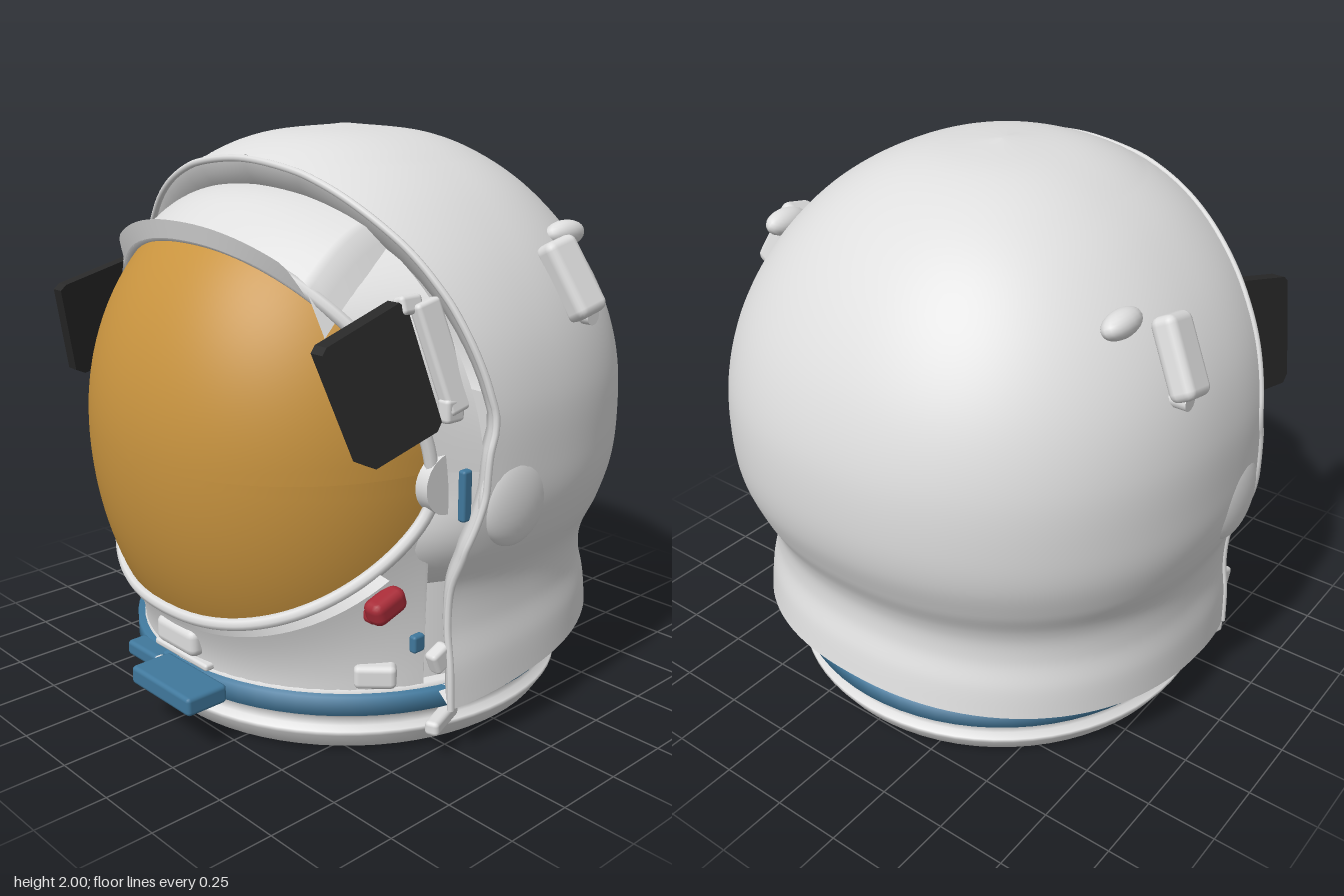
import * as THREE from 'three';
import { RoundedBoxGeometry } from 'three/addons/geometries/RoundedBoxGeometry.js';

const paint = (name, color) => {
  const m = new THREE.MeshStandardMaterial({ color, side: THREE.DoubleSide });
  m.name = name;
  return m;
};

// Linear lookup in a short list of [key, value] pairs
function lookup(list, k) {
  if (k <= list[0][0]) return list[0][1];
  for (let i = 1; i < list.length; i++) {
    const [a, va] = list[i - 1], [b, vb] = list[i];
    if (k <= b) return va + (vb - va) * (k - a) / (b - a);
  }
  return list[list.length - 1][1];
}

// Smooth sheet from a function of (u, v), both 0..1
function sheet(nu, nv, f) {
  const pos = [], idx = [];
  for (let j = 0; j <= nv; j++)
    for (let i = 0; i <= nu; i++) pos.push(...f(i / nu, j / nv));
  for (let j = 0; j < nv; j++)
    for (let i = 0; i < nu; i++) {
      const a = j * (nu + 1) + i, b = a + 1, c = a + nu + 1, d = c + 1;
      idx.push(a, b, d, a, d, c);
    }
  const g = new THREE.BufferGeometry();
  g.setAttribute('position', new THREE.Float32BufferAttribute(pos, 3));
  g.setIndex(idx);
  g.computeVertexNormals();
  return g;
}

const spow = (v, p) => Math.sign(v) * Math.abs(v) ** p;

// Shell profile: half width, height, depth to the back
const profile = new THREE.CatmullRomCurve3([
  [.865, .18, .87], [.86, .32, .85], [.845, .46, .82], [.855, .6, .825], [.905, .73, .885], [.935, .86, .935],
  [.94, 1, .955], [.93, 1.2, .945], [.88, 1.4, .885], [.775, 1.6, .77], [.615, 1.78, .61],
  [.44, 1.9, .44], [.27, 1.967, .27], [0, 2, 0],
].map(p => new THREE.Vector3(...p)));
// Front edge of the shell: height -> z
const shellEdge = [[.18, .31], [.75, .31], [.92, .27], [1.05, .26], [1.15, .23], [1.3, .26],
  [1.5, .31], [1.65, .36], [1.78, .42], [1.9, .47]];
const ROUND = .9;

function shellPoint(u, v) {
  const p = profile.getPoint(v), front = p.x + .03;
  const cut = p.y >= 1.9 ? 1 : Math.min(1, lookup(shellEdge, p.y) / front);
  const start = Math.acos(cut ** (1 / ROUND));
  const a = start + u * (2 * Math.PI - 2 * start), c = spow(Math.cos(a), ROUND);
  const z = c * (c > 0 ? front : p.z);
  const lift = Math.max(0, .6 - p.y) / .42 * .12 * (.31 - z) / 1.16;
  return [p.x * spow(Math.sin(a), ROUND), p.y + lift, z];
}

// Visor dome depth, and its outline scaled by k in the front plane
const CY = .97;
function domeZ(x, y) {
  const h = (y - 1) / (y > 1 ? .85 : 1);
  return .25 + .7 * Math.sqrt(Math.max(.008, 1 - (Math.abs(x) / .735) ** 2.2 - h * h));
}
function outline(u, k = 1) {
  const a = -u * Math.PI * 2, power = Math.sin(a) > 0 ? .9 : .82;
  const s = spow(Math.sin(a), power), c = spow(Math.cos(a), power);
  const x = .73 * c, dy = (s > 0 ? .68 : .53) * s;
  return [x * k, CY + dy * k, domeZ(x, CY + dy)];
}

export function createModel() {
  const white = paint('white', 0xdedede), gold = paint('gold', 0xc9943f), black = paint('black', 0x292929);
  const blue = paint('blue', 0x40789c), red = paint('red', 0xa82c38);
  const model = new THREE.Group();
  model.name = 'spaceHelmet';
  const add = (name, geo, mat, x = 0, y = 0, z = 0, rx = 0, ry = 0, rz = 0) => {
    const m = new THREE.Mesh(geo, mat);
    m.name = name;
    m.position.set(x, y, z);
    m.rotation.set(rx, ry, rz);
    model.add(m);
  };
  const box = (w, h, d, r = .015) => new RoundedBoxGeometry(w, h, d, 2, r);
  const tube = (pts, r, closed = false) => new THREE.TubeGeometry(
    new THREE.CatmullRomCurve3(pts.map(p => new THREE.Vector3(...p)), closed), 160, r, 8, closed);

  // Outer shell with its rolled front rim, inner lip and turned-in hem
  add('outerShell', sheet(72, 90, shellPoint), white);
  const rim = [];
  for (let i = 0; i <= 40; i++) rim.push(shellPoint(0, i / 40 * 11 / 13));
  const fullRim = [...rim, ...rim.slice(0, -1).reverse().map(([x, y, z]) => [-x, y, z])];
  add('shellRim', tube(fullRim, .012), white);
  add('shellLip', sheet(fullRim.length - 1, 3, (u, v) => {
    const [x, y, z] = fullRim[Math.round(u * (fullRim.length - 1))];
    const k = 1 - .1 * Math.min(1, v * 1.5);
    return [x * k, y > 1 ? 1 + (y - 1) * k : y, z - .01 - .12 * v * v];
  }), white);
  add('shellHem', sheet(72, 3, (u, v) => {
    const [x, y, z] = shellPoint(u, 0), k = 1 - .12 * (1 - v);
    return [x * k, y + .03 * (1 - v), z * k];
  }), white);

  // Domed visor
  add('visor', sheet(96, 28, (u, v) => {
    const r = Math.sin(v * Math.PI / 2), [x, y] = outline(u, r);
    return [x, y, domeZ(x, y)];
  }), gold);

  // Frame round the visor, surround back to the shell, and chin skirt
  const loop = [];
  for (let i = 0; i < 80; i++) loop.push(outline(i / 80, 1.025));
  add('visorFrame', tube(loop, .022, true), white);
  add('visorSurround', sheet(96, 8, (u, v) => {
    const [x, y, z] = outline(u), s = Math.max(0, -Math.sin(u * Math.PI * 2));
    const grow = 1 + .16 * v + .05 * s * v;
    return [x * grow, CY + (y - CY) * grow, z + (.2 + .15 * s - z) * v];
  }), white);
  add('chinSkirt', sheet(64, 8, (u, v) => {
    const [x, y, z] = outline(u / 2, 1.02), k = 1 + (.765 / Math.hypot(x, z) - 1) * Math.sin(v * Math.PI / 2);
    return [x * k, y + (.2 - y) * v, z * k];
  }), white);
  add('chinFlange', sheet(40, 2, (u, v) => {
    const [x, y, z] = outline(.08 + u * .34, 1.02 + .08 * v);
    return [x, y, z + .015 - .02 * v];
  }), white);

  // Brow lip, tapering to its ends, and padded brow above the visor
  add('browLip', sheet(32, 3, (u, v) => {
    const taper = Math.min(1, 3 * Math.sin(u * Math.PI));
    const [x, y, z] = outline(.64 + u * .22, 1.01 + .09 * v * taper);
    return [x, y, z + .02 + .015 * v * taper];
  }), white);
  add('browPad', sheet(40, 8, (u, v) => {
    const s = u * 2 - 1, end = Math.max(0, Math.abs(s) - .9);
    const drop = (.17 - .08 * v) * s * s + end;
    return [.55 * s, 1.675 - drop + .14 * v + .035 * Math.sin(v * Math.PI), .7 - .1 * s * s - .32 * v];
  }), white);

  // Neck and base rings
  const lathe = pts => new THREE.LatheGeometry(pts.map(p => new THREE.Vector2(...p)), 72);
  add('neck', new THREE.CylinderGeometry(.71, .74, .72, 64, 1, true), white, 0, .55, 0);
  add('baseRing', lathe([[0, 0], [.73, 0], [.755, .015], [.79, .07], [.79, .085], [.765, .095], [.765, .125], [.78, .14], [.78, .145]]), white);
  add('lockRing', lathe([[.76, .145], [.795, .146], [.795, .212], [.72, .214]]), blue);
  add('collar', lathe([[.77, .212], [.765, .228], [.72, .235]]), white);
  add('frontLatch', box(.33, .066, .16), blue, .09, .185, .855);
  add('latchCatch', box(.18, .055, .08), blue, -.17, .185, .79);
  add('latchPin', box(.04, .05, .04), white, -.09, .185, .81);
  add('chinBlock', box(.22, .1, .08, .03), white, 0, .31, .77);
  add('chinBar', box(.3, .025, .05, .01), white, 0, .235, .76);

  // Side fittings, mirrored
  for (const s of [1, -1]) {
    const side = s > 0 ? 'left' : 'right';
    // Flap shape is drawn in (-z, y), then turned to face sideways and leaned outward
    const shape = new THREE.Shape([[-.75, 1.43], [-.44, 1.515], [-.41, 1.49], [-.345, 1.15], [-.37, 1.125],
      [-.64, 1.07], [-.68, 1.09], [-.77, 1.41]].map(p => new THREE.Vector2(...p)));
    const flap = new THREE.ExtrudeGeometry(shape, { depth: .05, bevelEnabled: false });
    flap.translate(0, 0, -.025).rotateY(Math.PI / 2);
    const p = flap.attributes.position;
    for (let i = 0; i < p.count; i++) p.setX(i, p.getX(i) + s * (.68 + (1.51 - p.getY(i)) * .25));
    flap.computeVertexNormals();
    add(side + 'SunFlap', flap, black);
    add(side + 'FlapTopHinge', box(.05, .06, .09), white, s * .69, 1.5, .39, 0, 0, s * .3);
    add(side + 'FlapLowerHinge', box(.05, .08, .08), white, s * .79, 1.18, .3);
    add(side + 'FlapRail', box(.05, .36, .1), white, s * .755, 1.34, .31, .2, 0, s * .25);

    // Pivot covers
    const ear = new THREE.SphereGeometry(1, 32, 20);
    ear.scale(.055, .165, .155);
    add(side + 'PivotCover', ear, white, s * .895, .885, .115);
    add(side + 'VisorPivot', new THREE.CylinderGeometry(.1, .1, .05, 32), white, s * .745, .93, .28, 0, 0, Math.PI / 2);
    add(side + 'PivotStrip', box(.03, .17, .04, .01), blue, s * .82, .9, .26);

    // Padded pocket and nub on the crown
    add(side + 'Pocket', box(.09, .27, .14, .03), white, s * .835, 1.53, -.21, .2, 0, s * .48);
    const nub = new THREE.SphereGeometry(1, 16, 12);
    nub.scale(.05, .045, .09);
    add(side + 'PocketStrap', nub, white, s * .7, 1.65, -.34, 0, 0, s * .5);
    add(side + 'PocketPin', new THREE.CylinderGeometry(.03, .03, .08, 16), white, s * .86, 1.41, -.25, 0, 0, Math.PI / 2);

    // Red knobs and small clips by the chin
    add(side + 'Knob', box(.08, .085, .14, .03), red, s * .685, .55, .47, .3, 0, 0);
    add(side + 'KnobTab', box(.06, .05, .08, .02), red, s * .665, .52, .49);
    add(side + 'BlueClip', box(.03, .06, .05, .01), blue, s * .71, .39, .35);
    add(side + 'ShellClip', box(.05, .08, .08), white, s * .79, .36, .33, .4, 0, 0);
    add(side + 'NeckBlock', box(.14, .08, .08, .02), white, s * .62, .28, .45, 0, s * .8, 0);
    add(side + 'BaseLug', box(.05, .05, .18), white, s * .76, .115, .28, 0, s * .35, 0);
  }
  return model;
}
